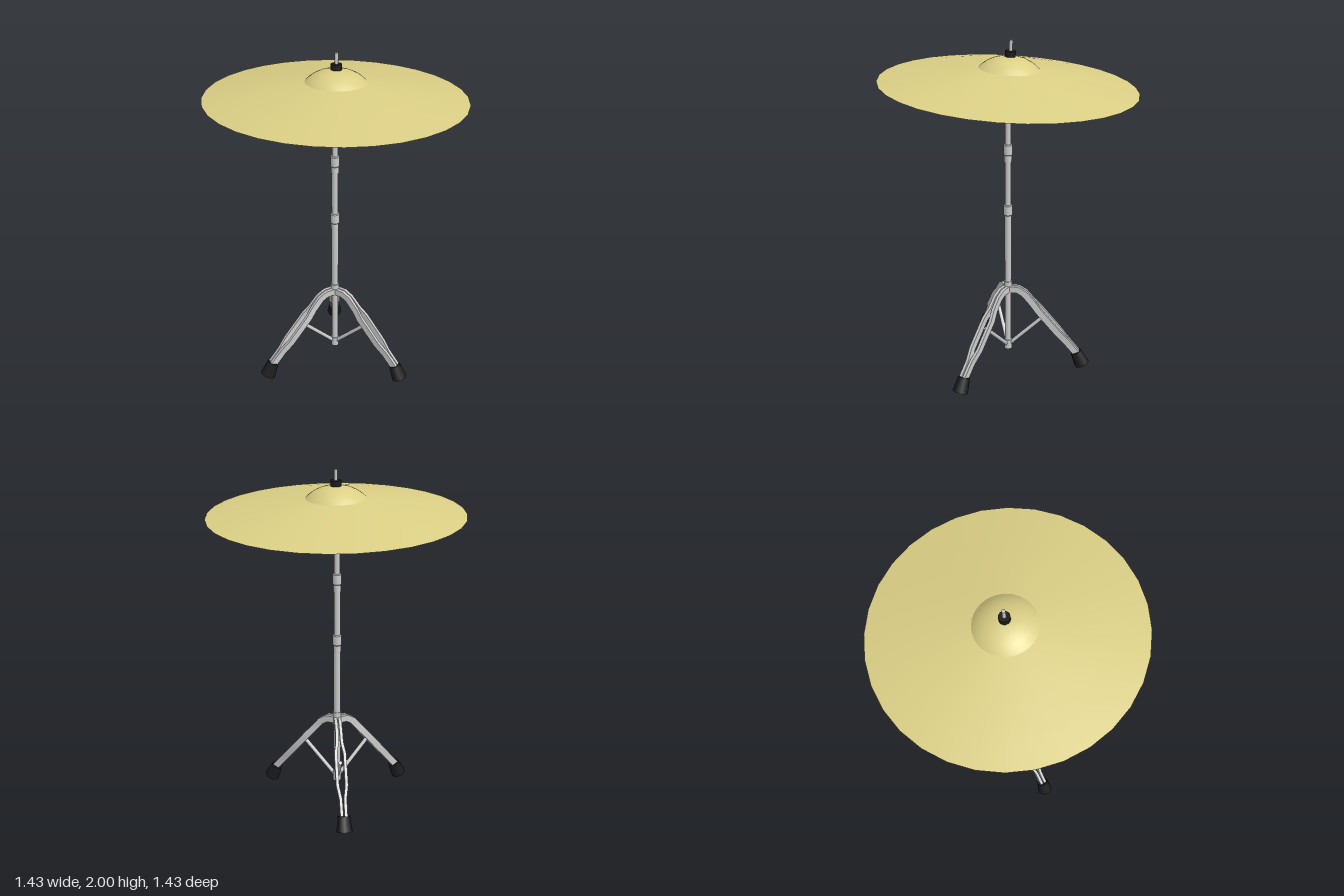
import * as THREE from 'three';
import { toCreasedNormals } from 'three/addons/utils/BufferGeometryUtils.js';

const metal = new THREE.MeshStandardMaterial({ color: 0xcccccc });
const rubber = new THREE.MeshStandardMaterial({ color: 0x1c1c1c });
const brass = new THREE.MeshStandardMaterial({ color: 0xdbcf85, side: THREE.DoubleSide });

function add(parent, name, geometry, material) {
  const mesh = new THREE.Mesh(geometry, material);
  mesh.name = name;
  parent.add(mesh);
  return mesh;
}

// Cylinder whose axis runs from a to b
function rod(parent, name, a, b, ra, rb, sides, material) {
  const from = new THREE.Vector3(...a), to = new THREE.Vector3(...b);
  const dir = to.clone().sub(from);
  const mesh = add(parent, name, new THREE.CylinderGeometry(rb, ra, dir.length(), sides), material);
  mesh.position.copy(from).add(to).multiplyScalar(0.5);
  mesh.quaternion.setFromUnitVectors(new THREE.Vector3(0, 1, 0), dir.normalize());
  return mesh;
}

// Lathe with edges kept sharp above the crease angle
function turned(points, sides, crease) {
  const geo = new THREE.LatheGeometry(points.map(p => new THREE.Vector2(...p)), sides);
  return toCreasedNormals(geo, crease);
}

// Flat bar swept along [radius, height, sideways offset] stations
function bar(stations, width, depth) {
  const pos = [], index = [], n = stations.length;
  stations.forEach(([x, y, z], i) => {
    const p = stations[Math.max(i - 1, 0)], q = stations[Math.min(i + 1, n - 1)];
    const len = Math.hypot(q[0] - p[0], q[1] - p[1]);
    const nx = -(q[1] - p[1]) / len, ny = (q[0] - p[0]) / len;
    for (const [u, v] of [[1, 1], [1, -1], [-1, -1], [-1, 1]]) {
      pos.push(x + nx * u * depth / 2, y + ny * u * depth / 2, z + v * width / 2);
    }
  });
  for (let i = 0; i < n - 1; i++) {
    for (let k = 0; k < 4; k++) {
      const a = i * 4 + k, b = i * 4 + (k + 1) % 4;
      index.push(a, a + 4, b, b, a + 4, b + 4);
    }
  }
  const e = (n - 1) * 4;
  index.push(0, 1, 2, 0, 2, 3, e, e + 2, e + 1, e, e + 3, e + 2);
  const geo = new THREE.BufferGeometry();
  geo.setAttribute('position', new THREE.Float32BufferAttribute(pos, 3));
  geo.setIndex(index);
  return toCreasedNormals(geo, 0.4);
}

// Double-braced leg pointing along +x
function makeLeg() {
  const leg = new THREE.Group();
  leg.name = 'leg';
  for (const s of [1, -1]) {
    const path = [
      [0.0, 0.51, 0.012], [0.06, 0.508, 0.012], [0.1, 0.484, 0.012], [0.15, 0.424, 0.014],
      [0.19, 0.376, 0.026], [0.31, 0.232, 0.026], [0.36, 0.172, 0.013], [0.425, 0.094, 0.012],
    ].map(([r, y, z]) => [r, y, z * s]);
    add(leg, 'legBar', bar(path, 0.018, 0.04), metal);
  }
  rod(leg, 'legBrace', [0.01, 0.13, 0], [0.215, 0.33, 0], 0.012, 0.012, 8, metal);
  rod(leg, 'rubberFoot', [0.458, 0.018, 0], [0.42, 0.1, 0], 0.047, 0.035, 8, rubber);
  return leg;
}

export function createModel() {
  const model = new THREE.Group();
  model.name = 'cymbalStand';

  // Stand: pole, collars and tripod
  const stand = new THREE.Group();
  stand.name = 'stand';
  stand.position.set(-0.005, 0, 0.005);
  model.add(stand);
  const sections = [
    ['bottomCollar', 0.1, 0.16, 0.024],
    ['lowerTube', 0.12, 0.98, 0.02],
    ['legCollar', 0.48, 0.56, 0.024],
    ['middleTube', 0.98, 1.36, 0.0185],
    ['upperTube', 1.36, 1.7, 0.017],
    ['topSleeve', 1.6, 1.68, 0.021],
  ];
  for (const [name, y0, y1, r] of sections) {
    rod(stand, name, [0, y0, 0], [0, y1, 0], r, r, 12, metal);
  }
  for (const y of [0.945, 1.31]) {
    const collar = turned([[0, 0], [0.022, 0], [0.022, 0.04], [0.026, 0.045],
      [0.026, 0.1], [0.022, 0.105], [0, 0.105]], 12, 0.6);
    add(stand, 'heightCollar', collar, metal).position.y = y;
  }
  for (const angle of [98.7, 214, -22]) {
    const leg = makeLeg();
    leg.rotation.y = THREE.MathUtils.degToRad(angle);
    stand.add(leg);
  }

  // Tilter joint, a bevelled drum lying across the pole
  const joint = turned([[0, -0.042], [0.036, -0.042], [0.049, -0.026],
    [0.049, 0.026], [0.036, 0.042], [0, 0.042]], 8, 0.4);
  const tilter = add(stand, 'tilter', joint, metal);
  tilter.rotation.set(Math.PI / 8, 0, Math.PI / 2);
  tilter.position.y = 1.714;

  // Tilted top: cymbal, rod and wing nut
  const top = new THREE.Group();
  top.name = 'tiltedTop';
  top.position.set(0, 1.757, 0);
  top.rotation.set(-0.06, 0, -0.006);
  model.add(top);
  const profile = [[0.714, 0], [0.56, 0.028], [0.4, 0.054], [0.27, 0.074], [0.168, 0.088],
    [0.15, 0.104], [0.125, 0.122], [0.09, 0.139], [0.05, 0.15], [0.009, 0.154]];
  add(top, 'cymbal', turned(profile, 32, 0.5), brass);
  rod(top, 'topRod', [0, -0.04, 0], [0, 0.243, 0], 0.01, 0.01, 10, metal);
  rod(top, 'nut', [0, 0.153, 0], [0, 0.184, 0], 0.03, 0.03, 14, rubber);
  return model;
}
